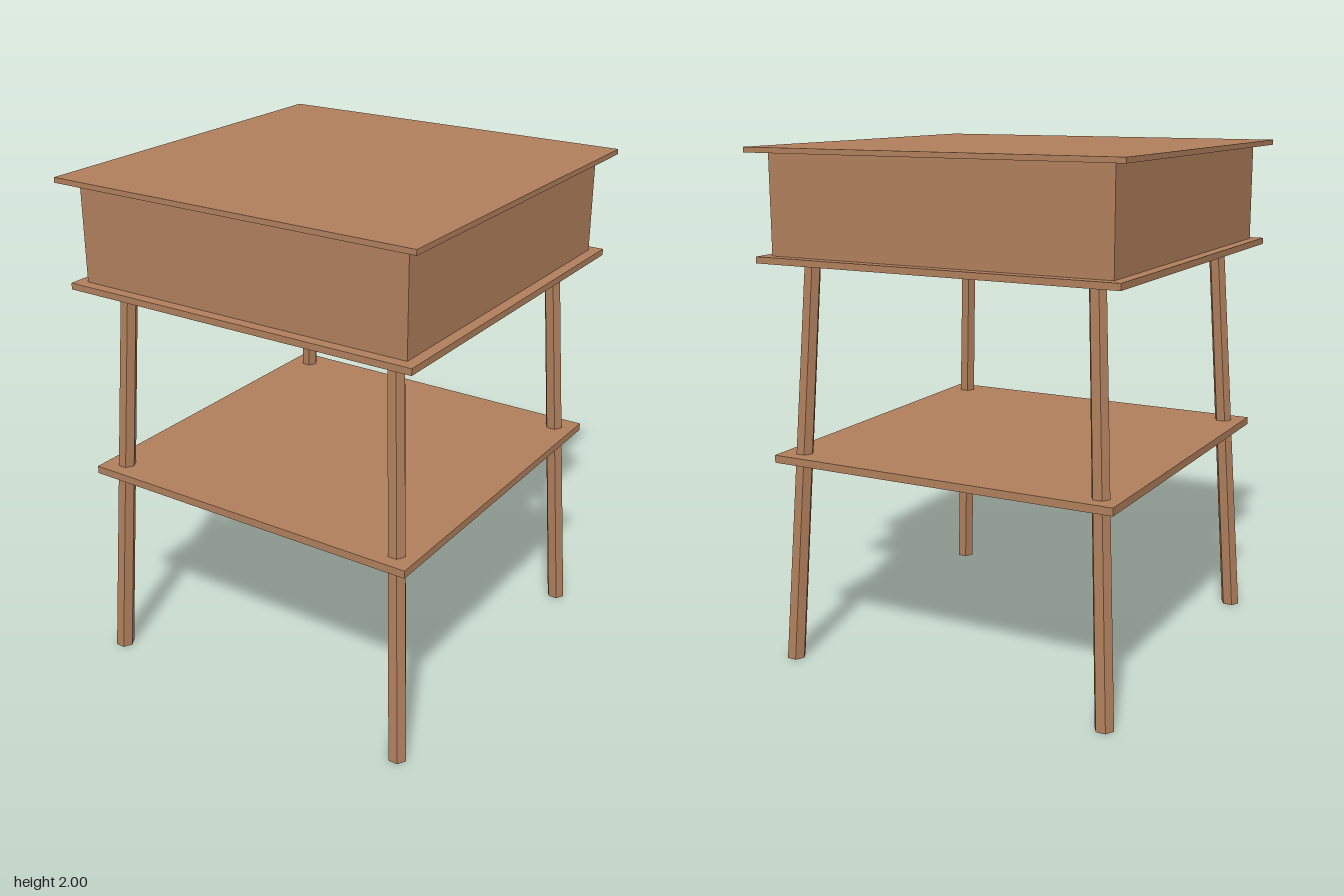
import * as THREE from 'three';

export function createModel() {
  const table = new THREE.Group();
  table.name = 'sideTable';
  table.rotation.y = -0.247; // whole table stands slightly turned

  const wood = new THREE.MeshStandardMaterial({ color: 0xb07f5c, flatShading: true });
  wood.name = 'warm wood';

  function add(name, geometry) {
    const mesh = new THREE.Mesh(geometry, wood);
    mesh.name = name;
    table.add(mesh);
  }

  // Square slab given by its half width and bottom and top heights
  function slab(name, half, y0, y1) {
    add(name, new THREE.BoxGeometry(half * 2, y1 - y0, half * 2).translate(0, (y0 + y1) / 2, 0));
  }
  slab('tableTop', 0.755, 1.98, 2);
  slab('drawerBox', 0.692, 1.6, 1.98);
  slab('boxBase', 0.735, 1.575, 1.6);
  slab('lowerShelf', 0.708, 0.805, 0.835);

  // Tapered six-sided legs, sheared outwards so the feet stay flat
  const legHeight = 1.58, footOffset = 0.672, headOffset = 0.586;
  function leg(name, sx, sz) {
    const geometry = new THREE.CylinderGeometry(0.033, 0.0375, legHeight, 6)
      .rotateY(Math.PI / 6)
      .translate(0, legHeight / 2, 0);
    const p = geometry.attributes.position;
    for (let i = 0; i < p.count; i++) {
      const d = THREE.MathUtils.lerp(footOffset, headOffset, p.getY(i) / legHeight);
      p.setX(i, p.getX(i) + sx * d);
      p.setZ(i, p.getZ(i) + sz * d);
    }
    geometry.computeVertexNormals();
    add(name, geometry);
  }
  leg('frontLeftLeg', 1, 1);
  leg('frontRightLeg', -1, 1);
  leg('backLeftLeg', 1, -1);
  leg('backRightLeg', -1, -1);

  const model = new THREE.Group();
  model.name = 'model';
  model.add(table);
  return model;
}
